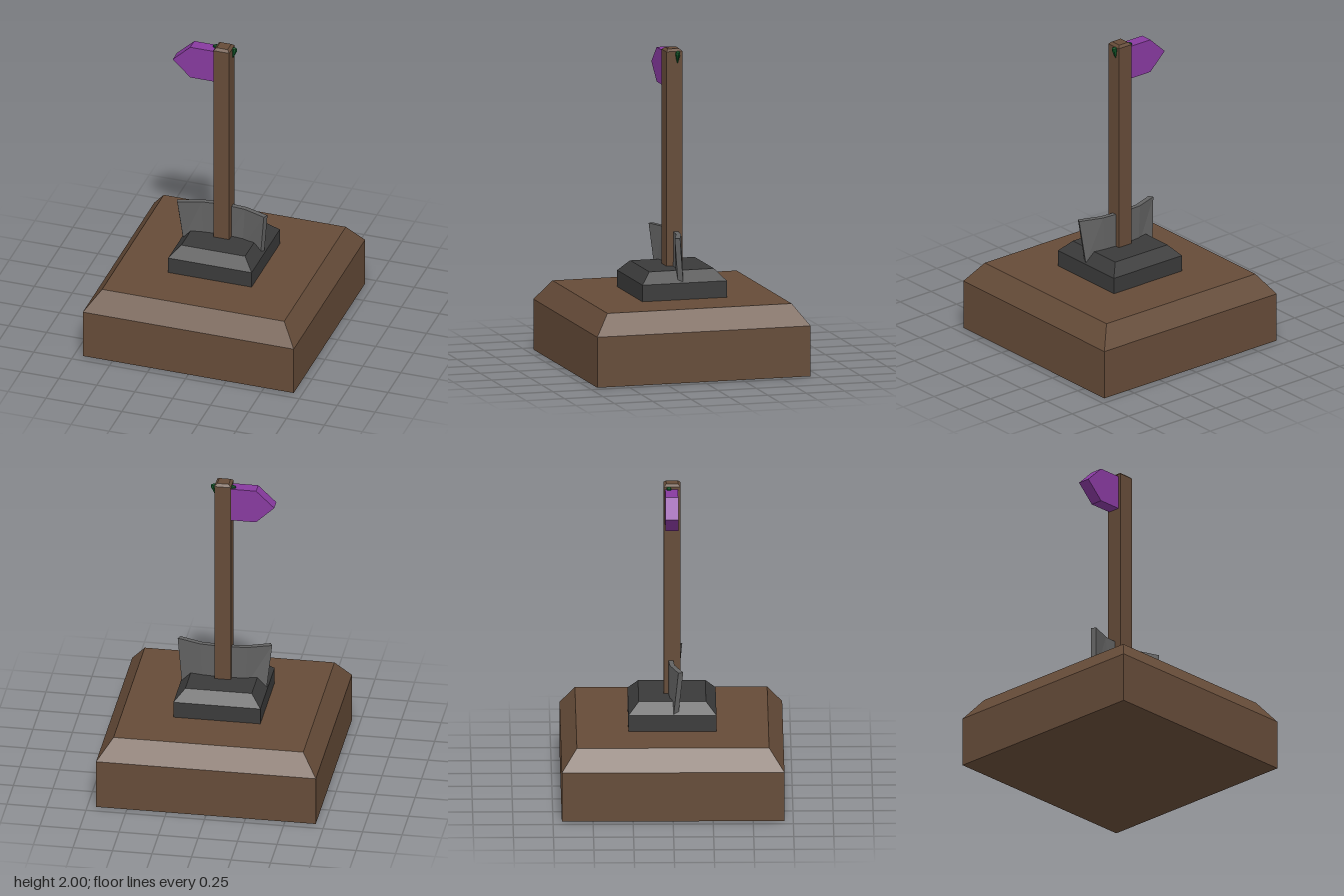
import * as THREE from 'three';

const material = (name, color, flatShading = true) => {
  const m = new THREE.MeshStandardMaterial({ color, flatShading });
  m.name = name;
  return m;
};

export function createModel() {
  const wood = material('brown wood', 0x654b38);
  const stone = material('dark stone', 0x3a3a3a);
  const steel = material('grey steel', 0x626262);
  const cloth = material('purple', 0x873a9f);
  const leaf = material('green', 0x0c5526);

  const model = new THREE.Group();
  model.name = 'signpost';
  const add = (name, geometry, mat) => {
    const mesh = new THREE.Mesh(geometry, mat);
    mesh.name = name;
    model.add(mesh);
    return mesh;
  };

  // Square block with a bevelled top, from [half width, height] levels
  const block = (name, levels, mat) => {
    const profile = [[0, levels[0][1]], ...levels, [0, levels[levels.length - 1][1]]]
      .map(([r, y]) => new THREE.Vector2(r * Math.SQRT2, y));
    return add(name, new THREE.LatheGeometry(profile, 4, Math.PI / 4), mat);
  };
  block('base', [[0.695, 0], [0.695, 0.32], [0.6, 0.45]], wood);
  block('plinth', [[0.275, 0.448], [0.275, 0.555], [0.21, 0.625]], stone);
  block('post', [[0.052, 0.6], [0.052, 1.985], [0.036, 2]], wood);

  // Pointed sign on the right of the post
  const outline = [[-0.04, 1.75], [-0.04, 1.97], [-0.21, 1.97], [-0.325, 1.86], [-0.21, 1.75]]
    .map(([x, y]) => new THREE.Vector2(x, y));
  const signGeometry = new THREE.ExtrudeGeometry(new THREE.Shape(outline), { depth: 0.08, bevelEnabled: false });
  signGeometry.translate(0, 0, -0.043);
  add('sign', signGeometry, cloth);

  // Curved blade, wider at the top, with its ends swept forward
  const blade = new THREE.BoxGeometry(2, 1, 1, 4, 1, 1);
  const p = blade.attributes.position;
  for (let i = 0; i < p.count; i++) {
    const u = p.getX(i), top = p.getY(i) > 0, side = Math.sign(p.getZ(i));
    const a = Math.abs(u);
    const curve = a > 0.75 ? (top ? 0.052 : 0.023) : a > 0.25 ? 0 : -0.012;
    const halfWidth = (top ? 0.292 : 0.262) - side * 0.007;
    p.setXYZ(i, u * halfWidth, top ? 0.842 : 0.56, curve + side * 0.015);
  }
  blade.computeVertexNormals();
  add('blade', blade, steel);

  // Small drooping thorns on both sides of the post top
  const thorn = [[0, -0.078], [0.008, -0.045], [0.016, -0.008], [0.013, 0.006], [0, 0.012]]
    .map(([r, y]) => new THREE.Vector2(r, y));
  for (const s of [-1, 1]) {
    const mesh = add(s > 0 ? 'leftThorn' : 'rightThorn', new THREE.LatheGeometry(thorn, 8), leaf);
    mesh.scale.x = 1.25;
    mesh.position.set(s * 0.061, 1.976, -0.02);
    mesh.rotation.z = -s * 0.18;
  }
  return model;
}
